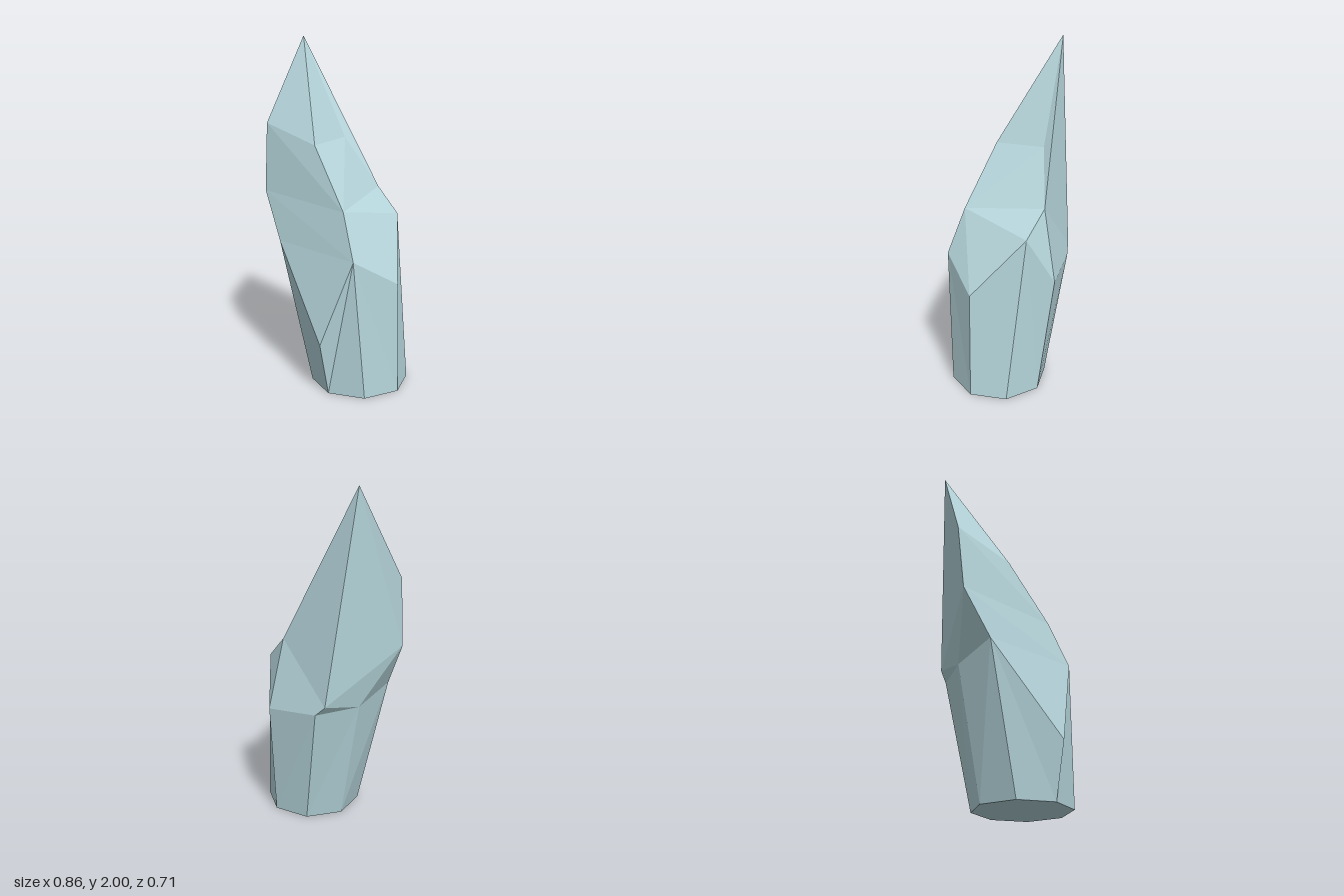
import * as THREE from 'three';

export function createModel() {
  const group = new THREE.Group();
  group.name = 'crystalShard';
  const paleBlue = new THREE.MeshStandardMaterial({ color: 0xb6d6dc });
  paleBlue.name = 'paleBlueCrystal';
  paleBlue.flatShading = true;

  // Octagonal foot, counterclockwise seen from above
  const foot = [];
  for (let k = 0; k < 8; k++) {
    const a = (k * Math.PI) / 4;
    foot.push([0.145 + 0.283 * Math.cos(a), 0, -0.283 * Math.sin(a)]);
  }

  // Uneven shoulder ring, one point above each foot corner
  const shoulder = [
    [0.417, 0.645, 0], [0.22, 0.98, -0.25], [0.09, 0.705, -0.355], [-0.21, 0.735, -0.25],
    [-0.293, 0.75, 0], [-0.26, 0.83, 0.25], [0.147, 0.315, 0.355], [0.3, 0.805, 0.25],
  ];
  const [H, I, K, O, N, M, G, F] = shoulder;

  // Facet corners of the leaning tip
  const A = [-0.37, 2, -0.085];
  const B = [-0.432, 1.5, 0.17];
  const C = [-0.413, 1.105, 0.21];
  const D = [-0.06, 1.4, 0.16];
  const E = [0.19, 1.06, 0.205];
  const J = [0.065, 1.12, -0.264];
  const L = [-0.097, 1.415, -0.145];
  const P = [-0.262, 0.79, -0.222];

  const facetMesh = (name, triangles) => {
    const geometry = new THREE.BufferGeometry();
    geometry.setAttribute('position', new THREE.Float32BufferAttribute(triangles.flat(2), 3));
    geometry.computeVertexNormals();
    const mesh = new THREE.Mesh(geometry, paleBlue);
    mesh.name = name;
    group.add(mesh);
  };

  // Shaft walls: each quad is split from its higher shoulder point
  const walls = [];
  const base = [];
  for (let k = 0; k < 8; k++) {
    const n = (k + 1) % 8;
    const [b0, b1, s0, s1] = [foot[k], foot[n], shoulder[k], shoulder[n]];
    if (s1[1] > s0[1]) walls.push([b0, b1, s1], [b0, s1, s0]);
    else walls.push([b0, b1, s0], [b1, s1, s0]);
    base.push([[0.145, 0, 0], b1, b0]);
  }
  facetMesh('shaft', walls);
  facetMesh('base', base);

  // Leaning tip facets: front, top slope, back, side
  facetMesh('tip', [
    [M, G, F], [C, M, F], [C, F, E], [B, C, E], [B, E, D], [A, B, D],
    [A, D, L], [D, E, L], [L, E, J], [E, I, J], [E, H, I], [E, F, H], [A, L, J],
    [A, J, P], [I, K, J], [P, J, K], [P, K, O],
    [P, O, N], [P, N, C], [C, N, M], [A, P, C], [A, C, B],
  ]);
  return group;
}
